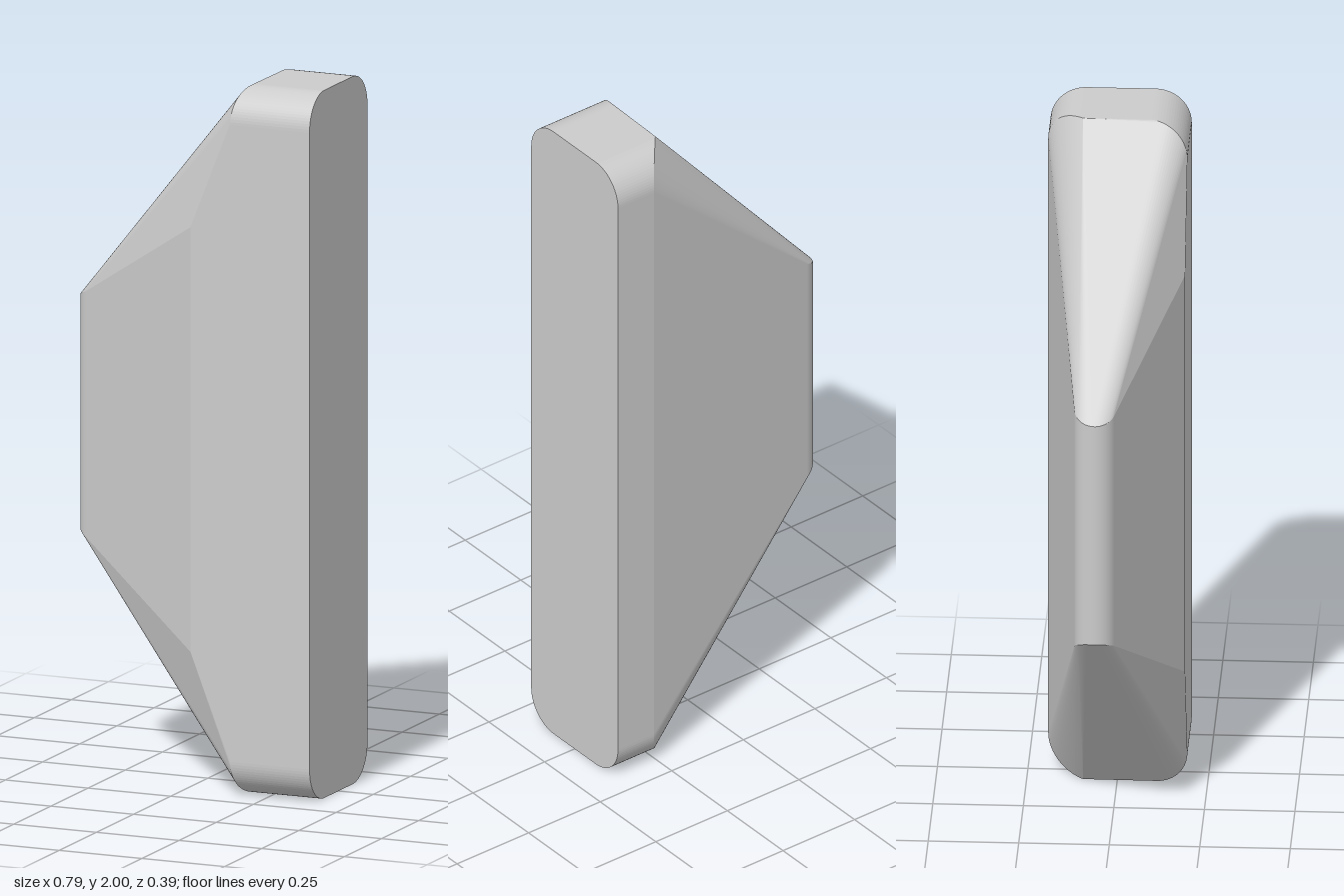
import * as THREE from 'three';
import { ConvexGeometry } from 'three/addons/geometries/ConvexGeometry.js';

const STEPS = 20;   // facets per rounded corner
const HX = 0.395;   // half length
const HZ = 0.195;   // half thickness
const R = 0.1;      // corner radius of the thick end

export function createModel() {
  const group = new THREE.Group();
  const points = [];

  // each point is mirrored about mid height
  const add = (x, h, z) => {
    for (const s of [1, -1]) points.push(new THREE.Vector3(x, 1 + s * h, z));
  };

  // rounded corners of the thick end: outer face, and the rim where the taper starts
  for (const [side, rimX] of [[1, 0.155], [-1, 0.27]]) {
    for (let i = 0; i <= STEPS; i++) {
      const a = (i / STEPS) * Math.PI / 2;
      const h = 1 - R + R * Math.sin(a);
      const z = side * (HZ - R + R * Math.cos(a));
      add(HX, h, z);
      add(THREE.MathUtils.lerp(0.187, rimX, Math.cos(a)), h, z);
    }
  }

  // front face bends back towards the nose here
  add(0.035, 0.6, HZ);

  // rounded nose, tangent to the two slanted faces
  const noseR = 0.058;
  const start = Math.PI / 2 + 0.417, end = Math.PI * 1.5 - 0.168;
  for (let i = 0; i <= 2 * STEPS; i++) {
    const a = THREE.MathUtils.lerp(start, end, i / (2 * STEPS));
    const x = -HX + noseR + noseR * Math.cos(a);
    add(x, 0.33 + 0.5 * (x + HX), -0.034 + noseR * Math.sin(a));
  }

  const body = new THREE.Mesh(
    new ConvexGeometry(points),
    new THREE.MeshStandardMaterial({ color: 0xcccccc })
  );
  body.name = 'taperedBody';
  group.add(body);
  return group;
}
